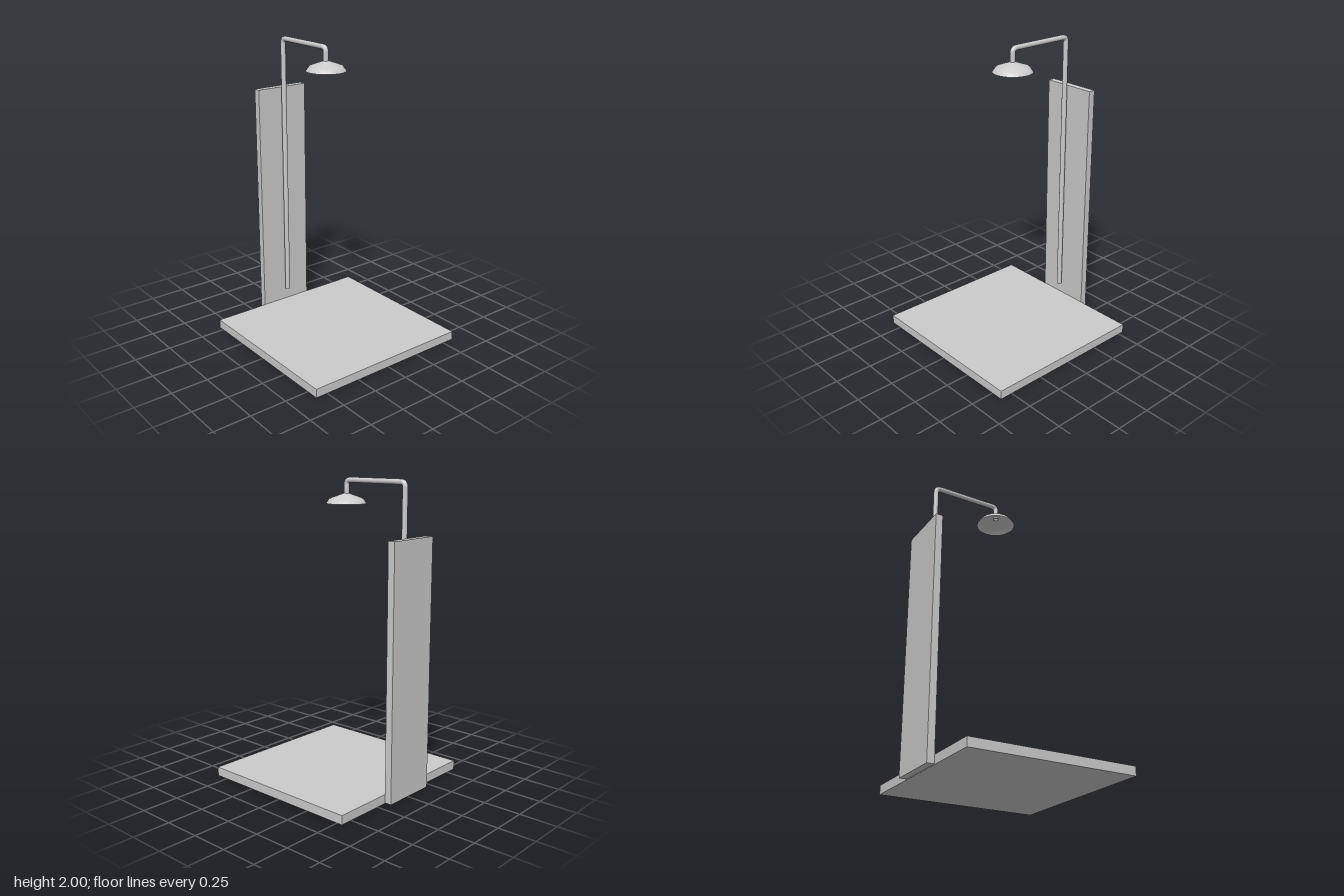
import * as THREE from 'three';

const material = new THREE.MeshStandardMaterial({ color: 0xcccccc });
const shellMaterial = new THREE.MeshStandardMaterial({ color: 0xcccccc, side: THREE.DoubleSide });

function box(name, x0, x1, y0, y1, z0, z1) {
  const mesh = new THREE.Mesh(new THREE.BoxGeometry(x1 - x0, y1 - y0, z1 - z0), material);
  mesh.position.set((x0 + x1) / 2, (y0 + y1) / 2, (z0 + z1) / 2);
  mesh.name = name;
  return mesh;
}

// Pipe through (z, y) corners at constant x, with a rounded elbow at each inner corner
function createPipe(x, corners, radius, bend) {
  const pipe = new THREE.Group();
  pipe.name = 'pipe';
  const points = corners.map(([z, y]) => new THREE.Vector3(x, y, z));
  const add = (name, curve, segments) => {
    const mesh = new THREE.Mesh(new THREE.TubeGeometry(curve, segments, radius, 16), shellMaterial);
    mesh.name = name;
    pipe.add(mesh);
  };
  let start = points[0];
  for (let i = 1; i < points.length; i++) {
    const corner = points[i];
    if (i === points.length - 1) {
      add('pipeRun', new THREE.LineCurve3(start, corner), 1);
      break;
    }
    const before = corner.clone().add(points[i - 1].clone().sub(corner).setLength(bend));
    const after = corner.clone().add(points[i + 1].clone().sub(corner).setLength(bend));
    add('pipeRun', new THREE.LineCurve3(start, before), 1);
    add('pipeElbow', new THREE.QuadraticBezierCurve3(before, corner, after), 6);
    start = after;
  }
  // Closed lower end
  const cap = new THREE.Mesh(new THREE.CircleGeometry(radius, 16), shellMaterial);
  cap.rotation.x = Math.PI / 2;
  cap.position.copy(points[0]);
  cap.name = 'pipeEndCap';
  pipe.add(cap);
  return pipe;
}

export function createModel() {
  const model = new THREE.Group();
  model.name = 'shower';

  // Floor tray and the upright panel behind it
  model.add(box('tray', -0.583, 0.583, 0, 0.06, -0.54, 0.588));
  model.add(box('backPanel', -0.2, 0.178, 0.004, 1.65, -0.588, -0.54));

  // Riser, overhead arm and short drop to the head
  model.add(createPipe(-0.018, [[-0.508, 0.15], [-0.508, 1.983], [-0.042, 1.983], [-0.042, 1.885]], 0.017, 0.032));

  // Shallow open shower head
  const profile = [[0.13, 1.835], [0.108, 1.866], [0.017, 1.898], [0, 1.9]]
    .map(([r, y]) => new THREE.Vector2(r, y));
  const head = new THREE.Mesh(new THREE.LatheGeometry(profile, 24), shellMaterial);
  head.position.set(-0.016, 0, -0.042);
  head.name = 'showerHead';
  model.add(head);

  return model;
}
